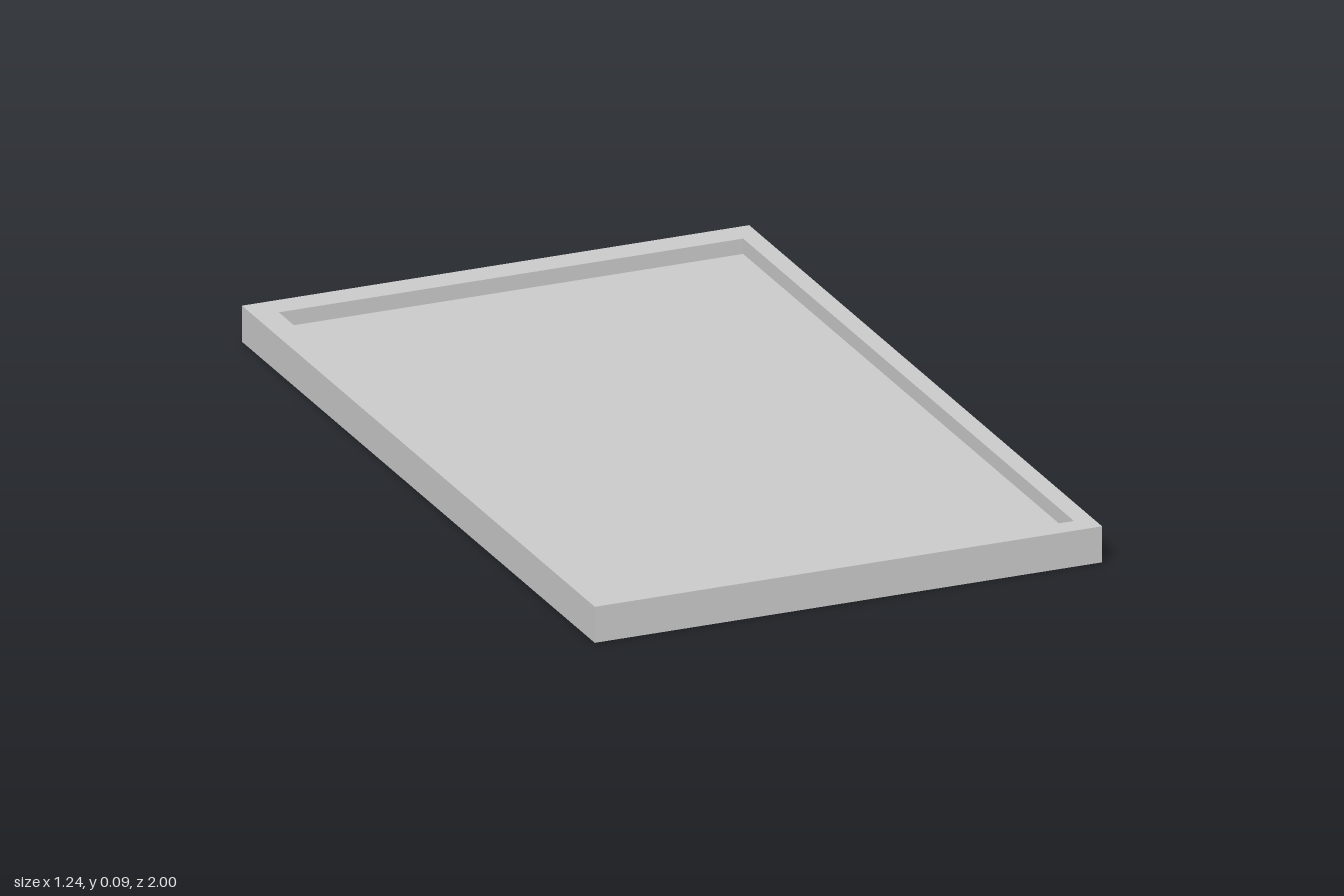
import * as THREE from 'three';

// Four corners of a level rectangle, anticlockwise seen from above
const ring = (y, x0, x1, z0, z1) => [[x0, y, z1], [x1, y, z1], [x1, y, z0], [x0, y, z0]];

export function createModel() {
  const HEIGHT = 0.087, FLOOR = 0.05;
  const outer = [-0.62, 0.62, -1, 1];
  const inner = [-0.56, 0.575, -0.93, 0.945];

  // Up the outside, across the rim, and down to the recessed floor
  const rings = [
    ring(0, ...outer),
    ring(HEIGHT, ...outer),
    ring(HEIGHT, ...inner),
    ring(FLOOR, ...inner),
  ];

  const positions = [];
  const quad = (a, b, c, d) => positions.push(...a, ...b, ...c, ...a, ...c, ...d);

  // Outer walls, rim and recess walls
  for (let r = 0; r < rings.length - 1; r++) {
    for (let i = 0; i < 4; i++) {
      const j = (i + 1) % 4;
      quad(rings[r][i], rings[r][j], rings[r + 1][j], rings[r + 1][i]);
    }
  }
  // Underside and recessed floor
  quad(...[...rings[0]].reverse());
  quad(...rings[3]);

  const geometry = new THREE.BufferGeometry();
  geometry.setAttribute('position', new THREE.Float32BufferAttribute(positions, 3));
  geometry.computeVertexNormals();

  const tray = new THREE.Mesh(geometry, new THREE.MeshStandardMaterial({ color: 0xcccccc, flatShading: true }));
  tray.name = 'recessedTray';

  const group = new THREE.Group();
  group.name = 'tray';
  group.add(tray);
  return group;
}
